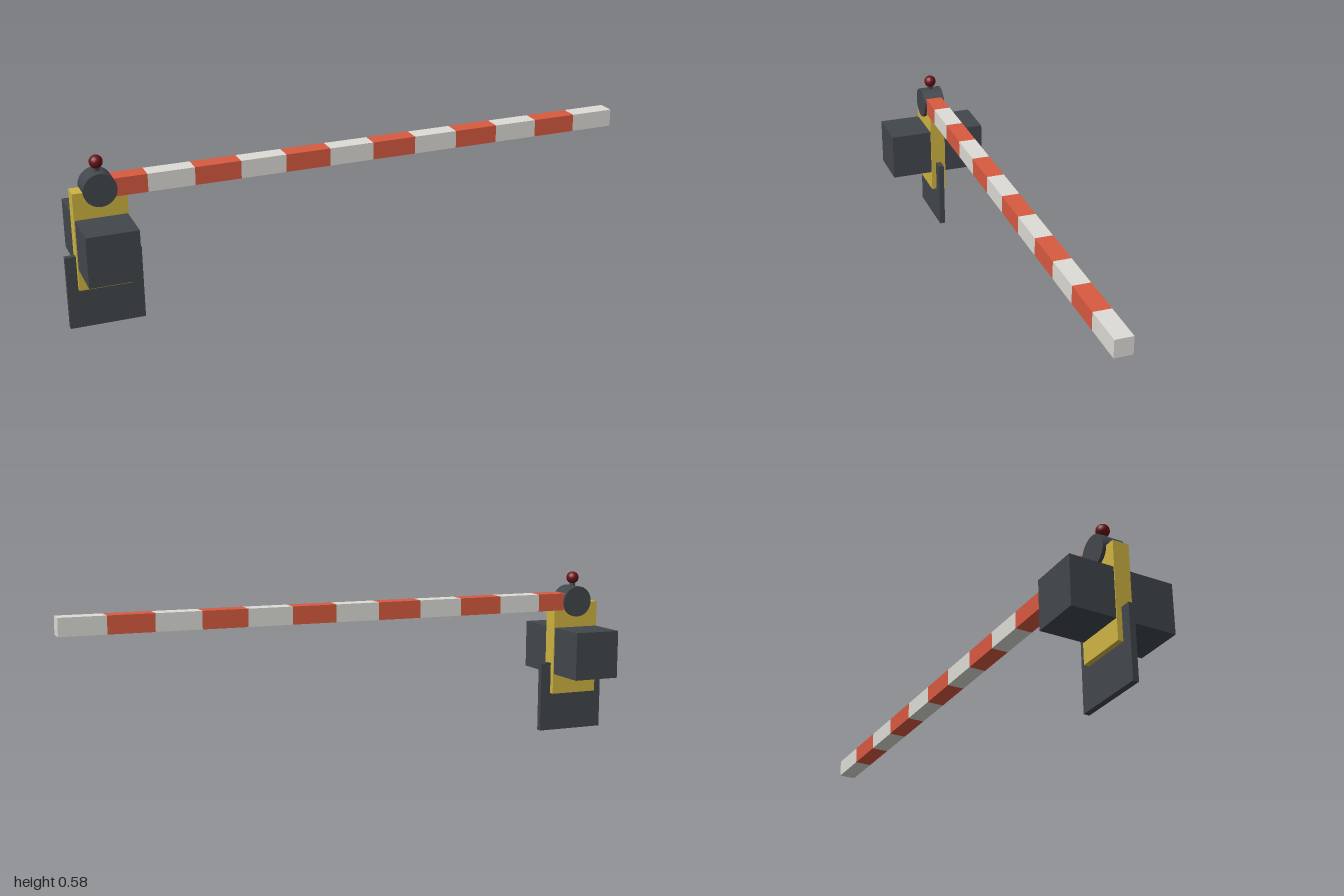
import * as THREE from 'three';

export function createModel() {
  const model = new THREE.Group();
  const paint = (color) => new THREE.MeshStandardMaterial({ color });
  const dark = paint(0x42474c);
  const yellow = paint(0xcfb442);
  const red = paint(0xd85a40);
  const white = paint(0xdddcd6);
  const lampRed = paint(0x6a1014);

  const add = (name, geometry, material, x, y, z = 0) => {
    const mesh = new THREE.Mesh(geometry, material);
    mesh.name = name;
    mesh.position.set(x, y, z);
    model.add(mesh);
    return mesh;
  };

  const pivotX = -0.877;
  const pivotY = 0.475;

  // Mounting plate, upright post and the counterweight through it
  add('mountingPlate', new THREE.BoxGeometry(0.25, 0.25, 0.02), dark, -0.875, 0.125);
  add('post', new THREE.BoxGeometry(0.176, 0.333, 0.056), yellow, pivotX, 0.3045);
  add('counterweight', new THREE.BoxGeometry(0.17, 0.17, 0.36), dark, pivotX, 0.296);

  // Pivot drum with its axis along z
  const drum = new THREE.CylinderGeometry(0.055, 0.055, 0.08, 32).rotateX(Math.PI / 2);
  add('pivotDrum', drum, dark, pivotX, pivotY);

  // Warning lamp on a short stem
  add('lampStem', new THREE.CylinderGeometry(0.01, 0.01, 0.04, 16), dark, pivotX, 0.53);
  add('lamp', new THREE.SphereGeometry(0.022, 24, 16), lampRed, pivotX, 0.559);

  // Barrier arm in alternating stripes, starting at the pivot
  const arm = new THREE.Group();
  arm.name = 'barrierArm';
  const stripes = 12;
  const start = -0.878;
  const length = (0.998 - start) / stripes;
  const stripeGeometry = new THREE.BoxGeometry(length, 0.061, 0.061);
  for (let i = 0; i < stripes; i++) {
    const stripe = new THREE.Mesh(stripeGeometry, i % 2 ? white : red);
    stripe.name = i % 2 ? 'whiteStripe' : 'redStripe';
    stripe.position.set(start + (i + 0.5) * length, pivotY, 0);
    arm.add(stripe);
  }
  model.add(arm);

  return model;
}
